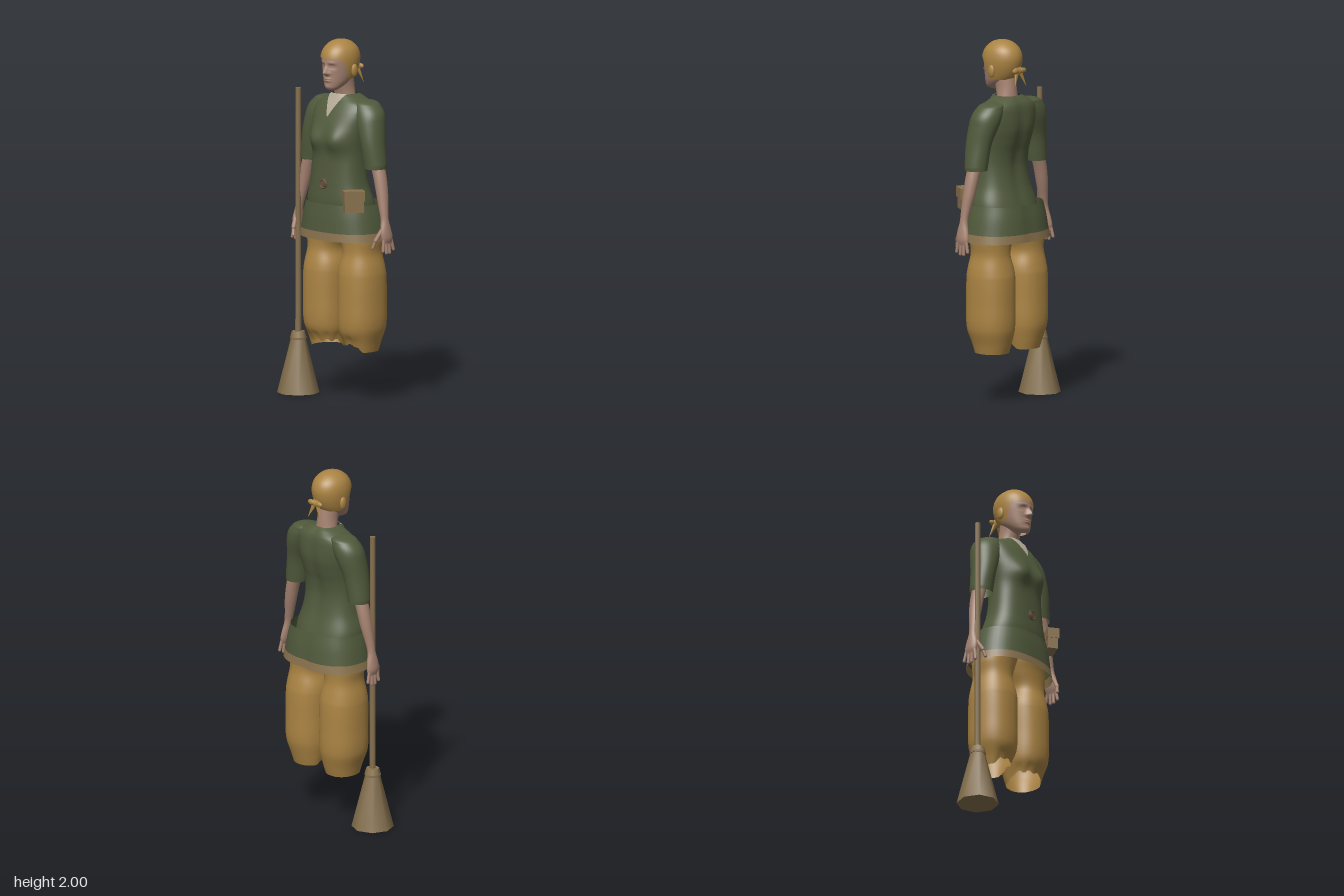
import * as THREE from 'three';

const CX = 0.03; // body centre line
const mat = (name, color) => {
  const m = new THREE.MeshStandardMaterial({ color, side: THREE.DoubleSide });
  m.name = name;
  return m;
};
const M = {
  tunic: mat('moss green cloth', 0x515a3c),
  mustard: mat('mustard cloth', 0xab8443),
  skin: mat('skin', 0xa68371),
  trim: mat('tan trim', 0x8a734e),
  shirt: mat('undershirt', 0xb0a792),
  broom: mat('broom straw', 0x85704e),
  buckle: mat('buckle brown', 0x66523a),
};
const gauss = (d, w) => Math.exp(-(d * d) / (w * w));

// Surface from fn(u, v); u wraps round when closed
function grid(nu, nv, fn, closed = true) {
  const pos = [], idx = [], w = closed ? nu : nu + 1;
  for (let j = 0; j <= nv; j++)
    for (let i = 0; i < w; i++) pos.push(...fn(i / nu, j / nv));
  for (let j = 0; j < nv; j++)
    for (let i = 0; i < nu; i++) {
      const a = j * w + i, b = j * w + ((i + 1) % w), c = a + w, d = b + w;
      idx.push(a, b, c, b, d, c);
    }
  const g = new THREE.BufferGeometry();
  g.setAttribute('position', new THREE.Float32BufferAttribute(pos, 3));
  g.setIndex(idx);
  g.computeVertexNormals();
  return g;
}

// Smooth interpolation of rows [y, centreX, halfWidth, zFront, zBack] at row parameter t
function sample(rows, t) {
  const n = rows.length - 1, i = Math.min(Math.floor(t), n - 1), f = t - i;
  const slope = (k, c) => {
    if (k === 0 || k === n) return null;
    return (rows[k + 1][c] - rows[k - 1][c]) / (rows[k + 1][0] - rows[k - 1][0]);
  };
  const dy = rows[i + 1][0] - rows[i][0];
  return rows[i].map((a, c) => {
    if (c === 0) return a + dy * f;
    const b = rows[i + 1][c], lin = (b - a) / dy;
    const m0 = (slope(i, c) ?? lin) * dy, m1 = (slope(i + 1, c) ?? lin) * dy;
    const f2 = f * f, f3 = f2 * f;
    return (2 * f3 - 3 * f2 + 1) * a + (f3 - 2 * f2 + f) * m0 + (3 * f2 - 2 * f3) * b + (f3 - f2) * m1;
  });
}
const paramAt = (rows, y) => {
  let i = 0;
  while (i < rows.length - 2 && rows[i + 1][0] < y) i++;
  return i + (y - rows[i][0]) / (rows[i + 1][0] - rows[i][0]);
};
function ringPoint([y, cx, hw, zf, zb], a, p = 1) {
  const s = Math.sin(a), c = Math.cos(a), pw = (v) => Math.sign(v) * Math.abs(v) ** p;
  return [cx + hw * pw(s), y, (zf + zb) / 2 + ((zf - zb) / 2) * pw(c)];
}
function loft(rows, { seg = 32, steps = 5, p = 1, rule = (q) => q } = {}) {
  const n = rows.length - 1;
  return grid(seg, n * steps, (u, v) => {
    const a = u * Math.PI * 2;
    return rule(ringPoint(sample(rows, v * n), a, p), a);
  });
}

const TORSO = [
  [1.0, 0, 0.2, 0.15, -0.14], [1.1, 0, 0.205, 0.165, -0.115], [1.2, 0, 0.178, 0.162, -0.088],
  [1.3, 0, 0.165, 0.157, -0.076], [1.38, 0, 0.162, 0.155, -0.085], [1.45, 0, 0.168, 0.163, -0.105],
  [1.52, 0, 0.178, 0.15, -0.12], [1.6, 0, 0.187, 0.118, -0.12], [1.65, 0, 0.17, 0.088, -0.112],
  [1.682, 0, 0.105, 0.066, -0.092], [1.697, 0, 0.068, 0.056, -0.075],
];
const bust = ([x, y, z], a) => {
  const front = Math.max(0, Math.cos(a));
  const back = Math.max(0, -Math.cos(a));
  z += 0.026 * front * gauss(Math.abs(x) - 0.082, 0.055) * gauss(y - 1.45, 0.065);
  z += 0.012 * back * gauss(x, 0.035) * gauss(y - 1.4, 0.3);
  return [x, y, z];
};

const HEAD = [
  [1.722, 0, 0.016, 0.118, 0.07], [1.735, 0, 0.04, 0.132, 0.045], [1.76, 0, 0.06, 0.136, 0.0],
  [1.79, 0, 0.074, 0.137, -0.04], [1.83, 0, 0.084, 0.139, -0.065], [1.87, 0, 0.09, 0.142, -0.078],
  [1.91, 0, 0.09, 0.141, -0.08], [1.95, 0, 0.078, 0.122, -0.064], [1.98, 0, 0.05, 0.088, -0.03],
  [1.991, 0, 0.025, 0.058, 0.0], [1.995, 0, 0.001, 0.031, 0.029],
];
// Nose, brow, eye sockets, lips and chin
const face = ([x, y, z], a) => {
  if (Math.cos(a) < 0) return [x, y, z];
  const ax = Math.abs(x);
  const ridge = y > 1.822 ? gauss(y - 1.822, 0.034) : gauss(y - 1.822, 0.011);
  z += 0.03 * gauss(x, 0.011 + 0.006 * gauss(y - 1.82, 0.012)) * ridge;
  z -= 0.011 * gauss(ax - 0.033, 0.018) * gauss(y - 1.858, 0.012);
  z += 0.006 * gauss(ax - 0.033, 0.011) * gauss(y - 1.857, 0.006);
  z += 0.004 * gauss(ax - 0.03, 0.025) * gauss(y - 1.88, 0.008);
  z += 0.008 * gauss(x, 0.024) * (gauss(y - 1.79, 0.005) + gauss(y - 1.778, 0.005));
  z += 0.004 * gauss(x, 0.02) * gauss(y - 1.745, 0.012);
  return [x, y, z];
};

const smooth = THREE.MathUtils.smoothstep;

export function createModel() {
  const root = new THREE.Group(), body = new THREE.Group();
  body.name = 'figure';
  body.position.x = CX;
  root.add(body);
  const add = (name, geo, m, parent = body) => {
    const mesh = new THREE.Mesh(geo, m);
    mesh.name = name;
    parent.add(mesh);
    return mesh;
  };
  // Rounded rod between two points
  const rod = (name, a, b, r, m) => {
    const A = new THREE.Vector3(...a), B = new THREE.Vector3(...b), d = B.clone().sub(A);
    const mesh = add(name, new THREE.CapsuleGeometry(r, d.length(), 4, 8), m);
    mesh.position.copy(A).add(B).multiplyScalar(0.5);
    mesh.quaternion.setFromUnitVectors(new THREE.Vector3(0, 1, 0), d.normalize());
  };

  // Head, neck and headscarf
  add('head', loft(HEAD, { seg: 112, steps: 9, rule: face }), M.skin);
  add('neck', loft([[1.6, 0, 0.075, 0.05, -0.07], [1.69, 0, 0.06, 0.052, -0.062],
    [1.74, 0, 0.055, 0.065, -0.058], [1.8, 0, 0.058, 0.085, -0.05]]), M.skin);
  const top = HEAD[HEAD.length - 1][0];
  add('headscarf', grid(48, 24, (u, v) => {
    const a = u * Math.PI * 2;
    const edge = 1.79 + 0.113 * smooth(Math.cos(a), -0.1, 0.75);
    const y = edge + (top - edge) * Math.sin((v * Math.PI) / 2);
    const q = ringPoint(sample(HEAD, paramAt(HEAD, y)), a);
    return [q[0] * 1.09, 1.88 + (q[1] - 1.88) * 1.045, 0.03 + (q[2] - 0.03) * 1.07];
  }), M.mustard);
  const knot = add('scarfKnot', new THREE.SphereGeometry(0.02, 12, 8), M.mustard);
  knot.position.set(0, 1.835, -0.085);

  // Tunic, V neck, skirt and hem
  add('tunic', loft(TORSO, { seg: 64, steps: 7, p: 0.85, rule: bust }), M.tunic);
  add('undershirt', grid(12, 20, (u, v) => {
    const y = 1.575 + 0.121 * v, row = sample(TORSO, paramAt(TORSO, y));
    const x = (u * 2 - 1) * (0.002 + 0.058 * v);
    const a = Math.sign(x) * Math.asin(Math.min(1, Math.abs(x) / row[2]) ** (1 / 0.85));
    const q = bust(ringPoint(row, a, 0.85), a);
    return [q[0], q[1] + 0.004, q[2] + 0.006];
  }, false), M.shirt);
  const buttocks = ([x, y, z], a) => [x, y, z + 0.008 * Math.max(0, -Math.cos(a)) * gauss(x, 0.03)];
  const skirtOpts = { seg: 48, p: 0.85, rule: buttocks };
  add('skirt', loft([[0.945, 0, 0.256, 0.186, -0.183], [1.03, 0, 0.24, 0.18, -0.174],
    [1.1, 0, 0.222, 0.172, -0.162]], skirtOpts), M.tunic);
  add('hem', loft([[0.9, 0, 0.266, 0.191, -0.19], [0.945, 0, 0.257, 0.187, -0.184]], skirtOpts), M.trim);

  // Belt buckle
  const ring = add('buckleRing', new THREE.TorusGeometry(0.024, 0.006, 6, 16), M.buckle);
  const disc = add('buckleDisc', new THREE.CylinderGeometry(0.017, 0.02, 0.014, 12), M.buckle);
  disc.rotation.x = Math.PI / 2;
  ring.position.set(0, 1.21, 0.166);
  disc.position.set(0, 1.21, 0.166);

  for (const s of [-1, 1]) {
    const side = s > 0 ? 'left' : 'right';
    const rows = (list) => list.map(([y, c, ...r]) => [y, c * s, ...r]);

    // Scarf tail and covered ear
    const tail = add(side + 'ScarfTail', new THREE.ConeGeometry(0.02, 0.115, 10), M.mustard);
    tail.scale.z = 0.55;
    tail.rotation.set(0.2, 0, s * 0.38);
    tail.geometry.rotateX(Math.PI).translate(0, -0.045, 0);
    tail.rotation.x = 0.2;
    tail.position.set(s * 0.01, 1.838, -0.086);
    const bow = add(side + 'ScarfBow', new THREE.SphereGeometry(0.02, 12, 8), M.mustard);
    bow.scale.set(1.4, 0.8, 0.6);
    bow.position.set(s * 0.027, 1.838, -0.094);
    const ear = add(side + 'Ear', new THREE.SphereGeometry(1, 14, 10), M.mustard);
    ear.scale.set(0.013, 0.036, 0.022);
    ear.position.set(s * 0.1, 1.835, 0.022);

    // Sleeve
    add(side + 'Sleeve', loft(rows([
      [1.305, 0.243, 0.061, 0.068, -0.058], [1.33, 0.241, 0.064, 0.07, -0.06], [1.45, 0.222, 0.066, 0.08, -0.072],
      [1.55, 0.193, 0.081, 0.078, -0.095], [1.6, 0.175, 0.088, 0.07, -0.1], [1.64, 0.155, 0.08, 0.055, -0.095],
      [1.665, 0.135, 0.06, 0.035, -0.08], [1.676, 0.12, 0.002, -0.018, -0.022]])), M.tunic);

    // Forearm and palm
    add(side + 'Arm', loft(rows([
      [0.9, 0.343, 0.01, 0.045, -0.02], [0.93, 0.341, 0.019, 0.055, -0.026], [0.97, 0.336, 0.021, 0.056, -0.02],
      [1.03, 0.327, 0.021, 0.042, -0.006], [1.09, 0.315, 0.026, 0.042, -0.012], [1.17, 0.298, 0.033, 0.042, -0.026],
      [1.26, 0.277, 0.037, 0.042, -0.034], [1.36, 0.245, 0.042, 0.04, -0.036]]), { seg: 20 }), M.skin);

    // Fingers and thumb
    [[0.052, 0.862], [0.026, 0.85], [0.001, 0.85], [-0.028, 0.866]].forEach(([z, y], i) =>
      rod(side + 'Finger' + (i + 1), [s * 0.344, 0.925, 0.043 - i * 0.019], [s * 0.348, y, z], 0.009, M.skin));
    rod(side + 'ThumbBase', [s * 0.33, 0.975, 0.045], [s * 0.315, 0.92, 0.077], 0.012, M.skin);
    rod(side + 'ThumbTip', [s * 0.315, 0.92, 0.077], [s * 0.305, 0.88, 0.088], 0.009, M.skin);

    // Baggy trouser leg with a ragged, open cuff
    add(side + 'TrouserLeg', loft(rows([
      [0.28, 0.125, 0.088, 0.09, -0.1], [0.33, 0.126, 0.1, 0.105, -0.115], [0.42, 0.132, 0.122, 0.129, -0.138],
      [0.56, 0.133, 0.124, 0.132, -0.14], [0.7, 0.132, 0.124, 0.13, -0.138], [0.75, 0.132, 0.118, 0.123, -0.13],
      [0.83, 0.135, 0.1, 0.106, -0.115], [0.92, 0.125, 0.118, 0.11, -0.12], [1.0, 0.1, 0.112, 0.12, -0.138],
      [1.05, 0.09, 0.09, 0.1, -0.12]]), {
      seg: 40, p: 0.9,
      rule: ([x, y, z], a) => {
        const jag = Math.round((a * 20) / Math.PI) % 4 < 2 ? 0.012 : 0;
        const lift = (0.035 + jag) * smooth(Math.cos(a + s * 0.5), 0.1, 0.7);
        return [x, y + lift * (1 - smooth(y, 0.28, 0.4)), z];
      },
    }), M.mustard);
  }

  // Hip pouch with flap
  const pouch = new THREE.Group();
  pouch.name = 'pouch';
  pouch.position.set(0.227, 1.13, 0.13);
  pouch.rotation.y = 0.96;
  root.add(pouch);
  add('pouchBody', new THREE.BoxGeometry(0.106, 0.118, 0.055), M.trim, pouch);
  add('pouchFlap', new THREE.BoxGeometry(0.114, 0.058, 0.066), M.trim, pouch).position.set(0, 0.033, 0.003);

  // Broom
  const broom = new THREE.Group();
  broom.name = 'broom';
  broom.position.set(-0.284, 0, 0.04);
  root.add(broom);
  add('broomHandle', new THREE.CylinderGeometry(0.015, 0.017, 1.39, 10), M.broom, broom).position.y = 0.998;
  add('broomCollar', new THREE.CylinderGeometry(0.036, 0.045, 0.035, 8), M.trim, broom).position.y = 0.323;
  add('broomBand', new THREE.CylinderGeometry(0.046, 0.046, 0.012, 8), M.trim, broom).position.y = 0.302;
  add('broomBristles', new THREE.CylinderGeometry(0.04, 0.116, 0.305, 8), M.broom, broom).position.y = 0.1525;

  return root;
}
